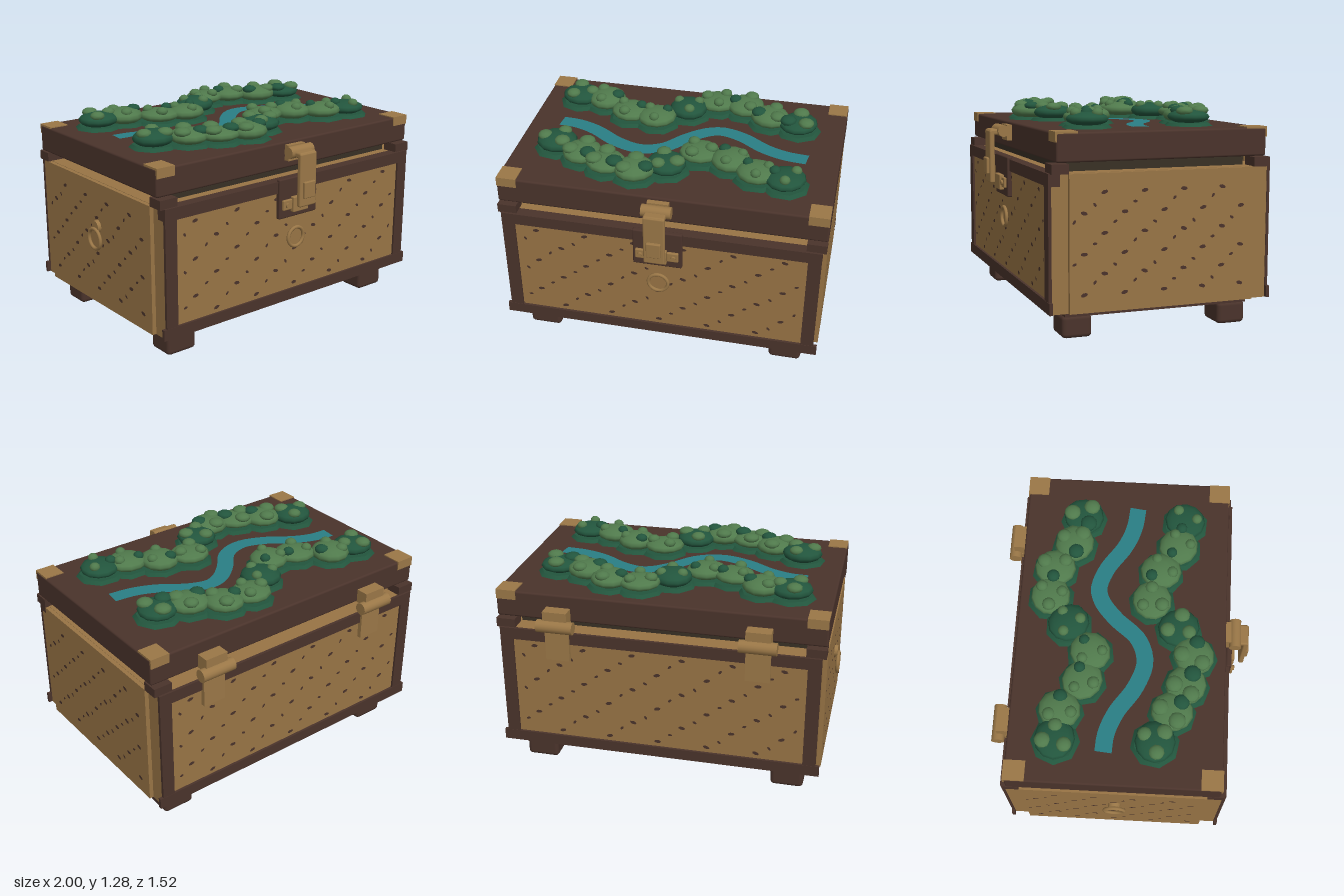
import * as THREE from 'three';
import { mergeGeometries } from 'three/addons/utils/BufferGeometryUtils.js';
import { RoundedBoxGeometry } from 'three/addons/geometries/RoundedBoxGeometry.js';

const mat = (name, color, side = THREE.FrontSide) => {
  const m = new THREE.MeshStandardMaterial({ color, side });
  m.name = name;
  return m;
};

export function createModel() {
  const brown = mat('dark wood', 0x4a332b);
  const tan = mat('tan panel', 0x987445);
  const brass = mat('brass', 0x9a7747);
  const inner = mat('inner lip', 0x383025);
  const lightGreen = mat('light moss', 0x507a4c);
  const darkGreen = mat('dark moss', 0x22553d);
  const teal = mat('river teal', 0x2a7e85, THREE.DoubleSide);

  const model = new THREE.Group();
  model.name = 'chest';
  const chest = new THREE.Group();
  chest.position.set(0.018, 0, -0.025);
  model.add(chest);

  const add = (name, geo, material, x = 0, y = 0, z = 0) => {
    const mesh = new THREE.Mesh(geo, material);
    mesh.name = name;
    mesh.position.set(x, y, z);
    chest.add(mesh);
    return mesh;
  };
  // Box given by its limits on each axis
  const box = (name, material, x0, x1, y0, y1, z0, z1, r = 0) => {
    const [w, h, d] = [x1 - x0, y1 - y0, z1 - z0];
    const geo = r ? new RoundedBoxGeometry(w, h, d, 2, r) : new THREE.BoxGeometry(w, h, d);
    return add(name, geo, material, (x0 + x1) / 2, (y0 + y1) / 2, (z0 + z1) / 2);
  };
  // Box mirrored over a corner of the plan
  const cornerBox = (name, material, sx, sz, x0, x1, y0, y1, z0, z1, r) =>
    box(name, material, Math.min(sx * x0, sx * x1), Math.max(sx * x0, sx * x1), y0, y1,
      Math.min(sz * z0, sz * z1), Math.max(sz * z0, sz * z1), r);
  const rod = (name, material, radius, length, x, y, z) =>
    add(name, new THREE.CylinderGeometry(radius, radius, length, 16).rotateZ(Math.PI / 2), material, x, y, z);

  // Body and base
  box('basePlate', brown, -0.898, 0.898, 0.13, 0.168, -0.556, 0.556);
  box('body', tan, -0.955, 0.955, 0.165, 0.94, -0.655, 0.655);
  box('innerLip', inner, -0.863, 0.863, 0.935, 0.99, -0.542, 0.542);
  for (const sx of [-1, 1]) {
    cornerBox('sidePanel', tan, sx, 1, 0.95, 0.98, 0.166, 0.938, -0.555, 0.555);
    for (const sz of [-1, 1]) {
      cornerBox('foot', brown, sx, sz, 0.68, 0.88, 0, 0.132, 0.39, 0.565, 0.025);
      cornerBox('framePost', brown, sx, sz, 0.88, 0.958, 0.17, 0.94, 0.65, 0.668);
      cornerBox('cornerBlock', brown, sx, sz, 0.865, 0.98, 0.938, 0.993, 0.556, 0.655);
      cornerBox('lidCornerCap', brass, sx, sz, 0.86, 0.98, 1.11, 1.168, 0.505, 0.632);
    }
  }
  for (const sz of [-1, 1]) {
    cornerBox('bottomRail', brown, 1, sz, -0.98, 0.98, 0.168, 0.235, 0.65, 0.67);
    cornerBox('topRail', brown, 1, sz, -0.958, 0.958, 0.87, 0.942, sz > 0 ? 0.6 : 0.65, 0.668);
  }
  box('lid', brown, -0.982, 0.982, 1.0, 1.162, -0.627, 0.627, 0.012);

  // Staggered flecks on each wall, laid out on a plane facing +z
  const flecks = (halfWidth, rows, step) => {
    const parts = [];
    const fleck = (u, y, rx, ry, turn) => {
      if (Math.abs(u) < halfWidth - rx)
        parts.push(new THREE.CircleGeometry(1, 7).scale(rx, ry, 1).rotateZ(turn).translate(u, y, 0));
    };
    for (let r = 0; r < rows; r++) {
      const y = 0.27 + r * 0.113;
      for (let i = -8; i <= 8; i++) {
        const u = (i + (r % 2) * 0.5) * step;
        const wobble = Math.sin(i * 5.3 + r * 3.7);
        fleck(u, y, 0.021, 0.011, wobble * 0.3);
        if (r < rows - 1) fleck(u + step * 0.26, y + 0.055 + wobble * 0.012, 0.014, 0.008, wobble);
      }
    }
    return mergeGeometries(parts);
  };
  const wide = flecks(0.87, 6, 0.3);
  const narrow = flecks(0.545, 6, 0.236);
  add('frontFlecks', wide, brown, 0, 0, 0.659);
  add('backFlecks', wide, brown, 0, 0, -0.659).rotation.y = Math.PI;
  add('leftFlecks', narrow, brown, 0.984, 0, 0).rotation.y = Math.PI / 2;
  add('rightFlecks', narrow, brown, -0.984, 0, 0).rotation.y = -Math.PI / 2;

  // Front clasp
  box('claspPlate', brown, -0.148, 0.148, 0.71, 0.955, 0.65, 0.682, 0.008);
  box('claspMount', brass, -0.064, 0.064, 1.05, 1.145, 0.622, 0.66);
  rod('claspBarrel', brass, 0.036, 0.176, 0, 1.11, 0.685);
  box('haspTop', brass, -0.064, 0.064, 1.085, 1.12, 0.685, 0.765, 0.012);
  box('hasp', brass, -0.064, 0.064, 0.79, 1.115, 0.736, 0.768, 0.01);
  box('haspBoss', brass, -0.043, 0.043, 0.845, 0.945, 0.76, 0.785, 0.006);
  box('staple', brass, -0.06, 0.06, 0.745, 0.84, 0.68, 0.71, 0.006);
  for (const sx of [-1, 1]) {
    cornerBox('lug', brass, sx, 1, 0.06, 0.13, 0.765, 0.828, 0.68, 0.7, 0.006);
    const rivet = add('rivet', new THREE.CylinderGeometry(0.015, 0.015, 0.02, 10), brass, sx * 0.1, 0.796, 0.702);
    rivet.rotation.x = Math.PI / 2;
  }

  // Ring pulls on the front and one end
  add('frontRing', new THREE.TorusGeometry(0.06, 0.011, 8, 24), brass, 0, 0.57, 0.668);
  const endRing = add('endRing', new THREE.TorusGeometry(0.062, 0.011, 8, 24), brass, -1.005, 0.595, 0.005);
  endRing.rotation.y = Math.PI / 2;
  const boss = add('endRingBoss', new THREE.CylinderGeometry(0.035, 0.04, 0.025, 14), brass, -0.988, 0.67, 0.005);
  boss.rotation.z = Math.PI / 2;

  // Back hinges
  for (const x of [-0.598, 0.598]) {
    rod('hingeBarrel', brass, 0.038, 0.22, x, 0.993, -0.7);
    box('hingeLidLeaf', brass, x - 0.073, x + 0.073, 1.0, 1.085, -0.705, -0.62);
    box('hingeBodyLeaf', brass, x - 0.073, x + 0.073, 0.765, 0.99, -0.682, -0.655);
  }

  // River ribbon on the lid
  const river = new THREE.CatmullRomCurve3([
    [-0.77, -0.09], [-0.66, -0.08], [-0.53, -0.03], [-0.37, 0.075], [-0.21, 0.125], [-0.07, 0.08],
    [0.06, -0.065], [0.165, -0.15], [0.25, -0.175], [0.38, -0.135], [0.54, -0.03], [0.67, 0.02], [0.805, 0.037],
  ].map(([x, z]) => new THREE.Vector3(x, 0, z)));
  const ribbon = new THREE.PlaneGeometry(1, 1, 48, 1);
  const pos = ribbon.attributes.position;
  for (let i = 0; i < pos.count; i++) {
    const t = (i % 49) / 48;
    const p = river.getPointAt(t);
    const d = river.getTangentAt(t);
    const s = i < 49 ? -0.05 : 0.05;
    pos.setXYZ(i, p.x - d.z * s, 0, p.z + d.x * s);
  }
  ribbon.computeVertexNormals();
  add('river', ribbon, teal, -0.018, 1.169, 0.025);

  // Moss banks: flat leaf pad, flattened dome and small tufts for each clump
  const dome = new THREE.SphereGeometry(1, 12, 8);
  const pad = new THREE.CylinderGeometry(0.85, 1, 1, 8);
  const tuft = new THREE.IcosahedronGeometry(1, 1);
  const banks = [
    [[-0.715, -0.37], [-0.54, -0.355], [-0.355, -0.235], [-0.175, -0.2], [0, -0.34],
      [0.17, -0.46], [0.355, -0.445], [0.525, -0.34], [0.71, -0.295]],
    [[-0.705, 0.205], [-0.52, 0.295], [-0.355, 0.37], [-0.17, 0.41], [0, 0.315],
      [0.17, 0.15], [0.365, 0.195], [0.535, 0.295], [0.71, 0.33]],
  ];
  banks.forEach((bank, b) => bank.forEach(([px, pz], i) => {
    const [x, z] = [px - 0.018, pz + 0.025];
    const dark = i % 4 === 0;
    const leaf = add('mossPad', pad, darkGreen, x, 1.172, z);
    leaf.scale.set(0.145, 0.018, 0.145);
    leaf.rotation.y = i * 0.7 + b;
    const clump = add('mossClump', dome, dark ? darkGreen : lightGreen, x, 1.215, z);
    clump.scale.set(0.125, 0.046 + 0.006 * Math.sin(i * 2.1 + b), 0.118);
    clump.rotation.y = i * 1.3;
    for (let k = 0; k < 3; k++) {
      const a = i * 1.9 + b * 0.8 + k * 2.2;
      const small = add('mossTuft', tuft, (i + k) % 5 === 3 ? darkGreen : lightGreen,
        x + 0.07 * Math.cos(a), 1.25, z + 0.07 * Math.sin(a));
      const r = 0.042 + 0.01 * Math.sin(a * 3);
      small.scale.set(r, 0.028, r);
      small.rotation.y = a;
    }
  }));

  return model;
}
